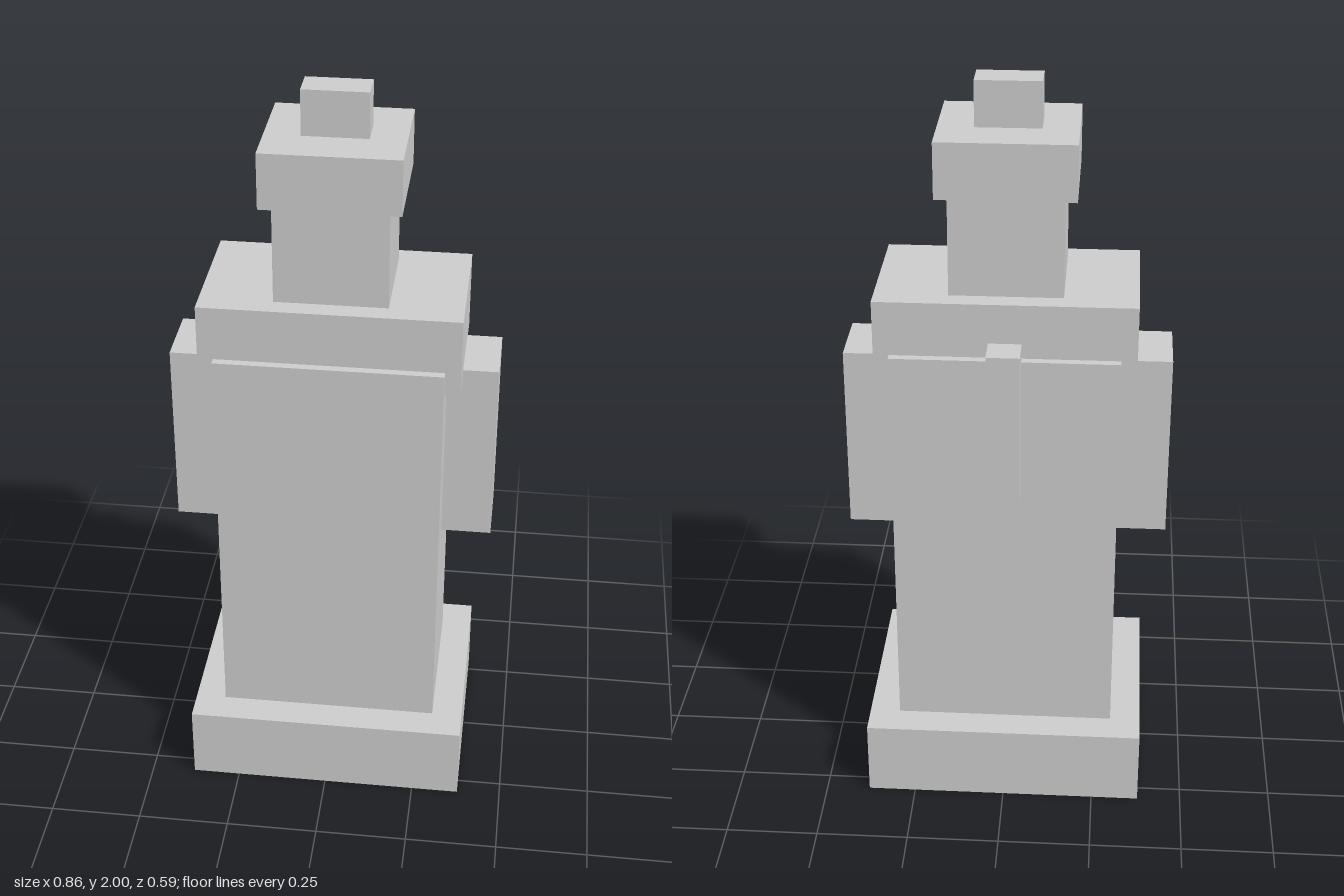
import * as THREE from 'three';

export function createModel() {
  const model = new THREE.Group();
  const grey = new THREE.MeshStandardMaterial({ color: 0xcccccc, flatShading: true });

  // Box given by its extents along each axis
  function block(name, [x0, x1], [y0, y1], [z0, z1]) {
    const mesh = new THREE.Mesh(new THREE.BoxGeometry(x1 - x0, y1 - y0, z1 - z0), grey);
    mesh.name = name;
    mesh.position.set((x0 + x1) / 2, (y0 + y1) / 2, (z0 + z1) / 2);
    model.add(mesh);
  }
  const span = (half) => [-half, half];

  // Central stack, from the ground up
  block('base', span(0.38), [0, 0.212], span(0.297));
  block('body', span(0.297), [0.212, 1.32], span(0.212));
  block('shoulders', span(0.338), [1.255, 1.467], span(0.19));
  block('head', span(0.147), [1.467, 1.732], span(0.137));
  block('cap', span(0.178), [1.732, 1.88], span(0.161));
  block('capTop', span(0.085), [1.88, 2], span(0.043));

  // Arms, set into the sides of the body
  block('leftArm', [0.27, 0.431], [0.768, 1.275], span(0.093));
  block('rightArm', [-0.431, -0.27], [0.768, 1.275], span(0.093));

  // Upright bar on the back
  block('backBar', span(0.043), [0.937, 1.36], [-0.273, -0.18]);

  return model;
}
